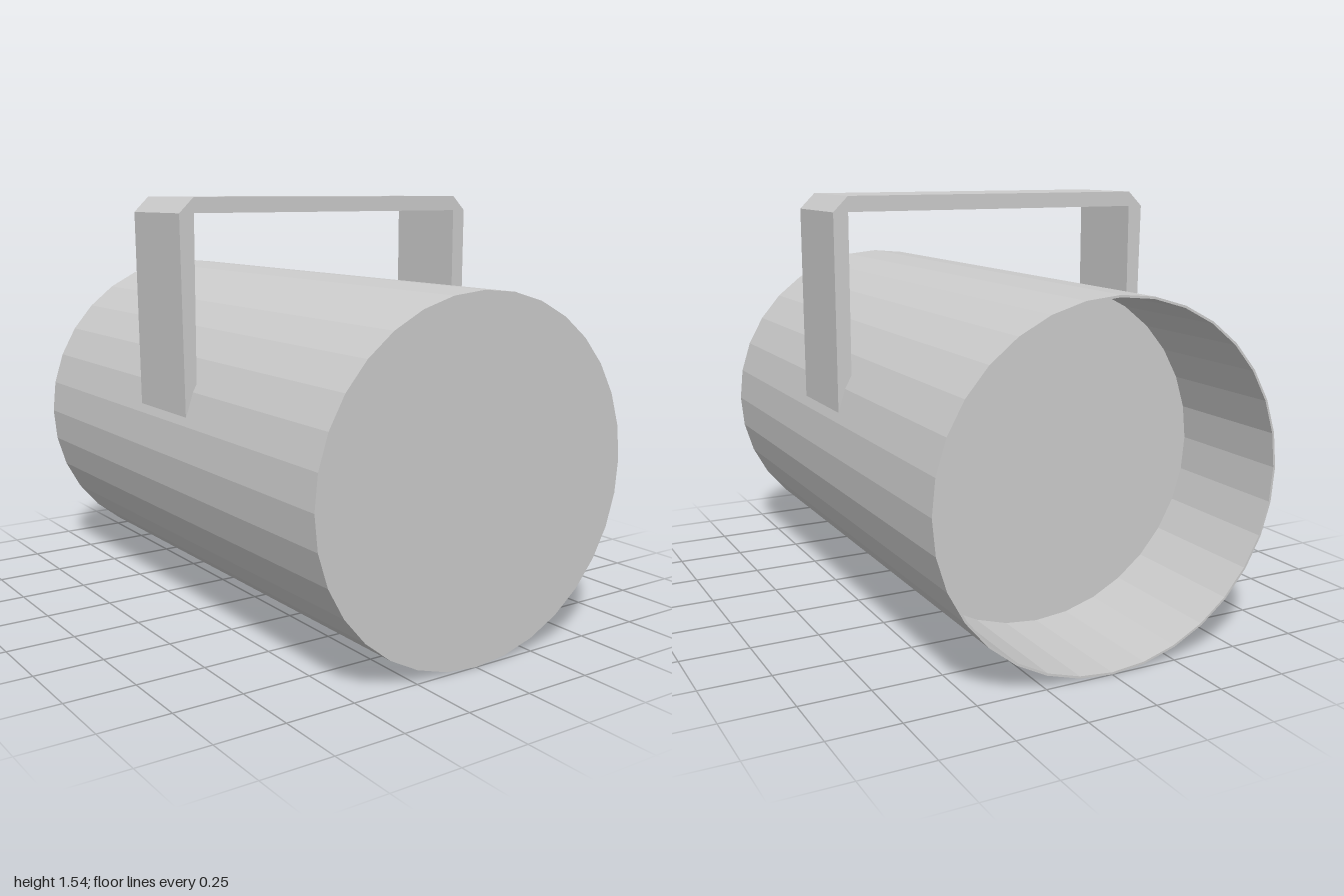
import * as THREE from 'three';

const RX = 0.65, RY = 0.627, WALL = 0.008, SIDES = 32;

export function createModel() {
  const group = new THREE.Group();
  const material = new THREE.MeshStandardMaterial({
    color: 0xcccccc, flatShading: true, side: THREE.DoubleSide,
  });
  const add = (name, geometry) => {
    const mesh = new THREE.Mesh(geometry, material);
    mesh.name = name;
    group.add(mesh);
  };

  // Drum: closed front, thin wall, recessed floor half a unit inside the open back
  const profile = [
    [0, 1], [RX, 1], [RX, -1], [RX - WALL, -1], [RX - WALL, -0.5], [0, -0.5],
  ].map(([r, z]) => new THREE.Vector2(r, z));
  const drum = new THREE.LatheGeometry(profile, SIDES);
  drum.rotateX(Math.PI / 2);
  drum.scale(1, RY / RX, 1);
  drum.translate(0, RY, 0);
  add('drum', drum);

  // Handle: flat strap with chamfered corners, its feet ending on the drum
  const outline = [
    [0.627, 0.78], [0.63, 1.485], [0.575, 1.54], [-0.585, 1.54], [-0.642, 1.485], [-0.63, 0.78],
    [-0.585, 0.89], [-0.585, 1.485], [0.575, 1.485], [0.575, 0.9],
  ].map(([x, y]) => new THREE.Vector2(x, y));
  const handle = new THREE.ExtrudeGeometry(new THREE.Shape(outline), { depth: 0.345, bevelEnabled: false });
  handle.translate(0, 0, -0.172);
  add('handle', handle);

  return group;
}
